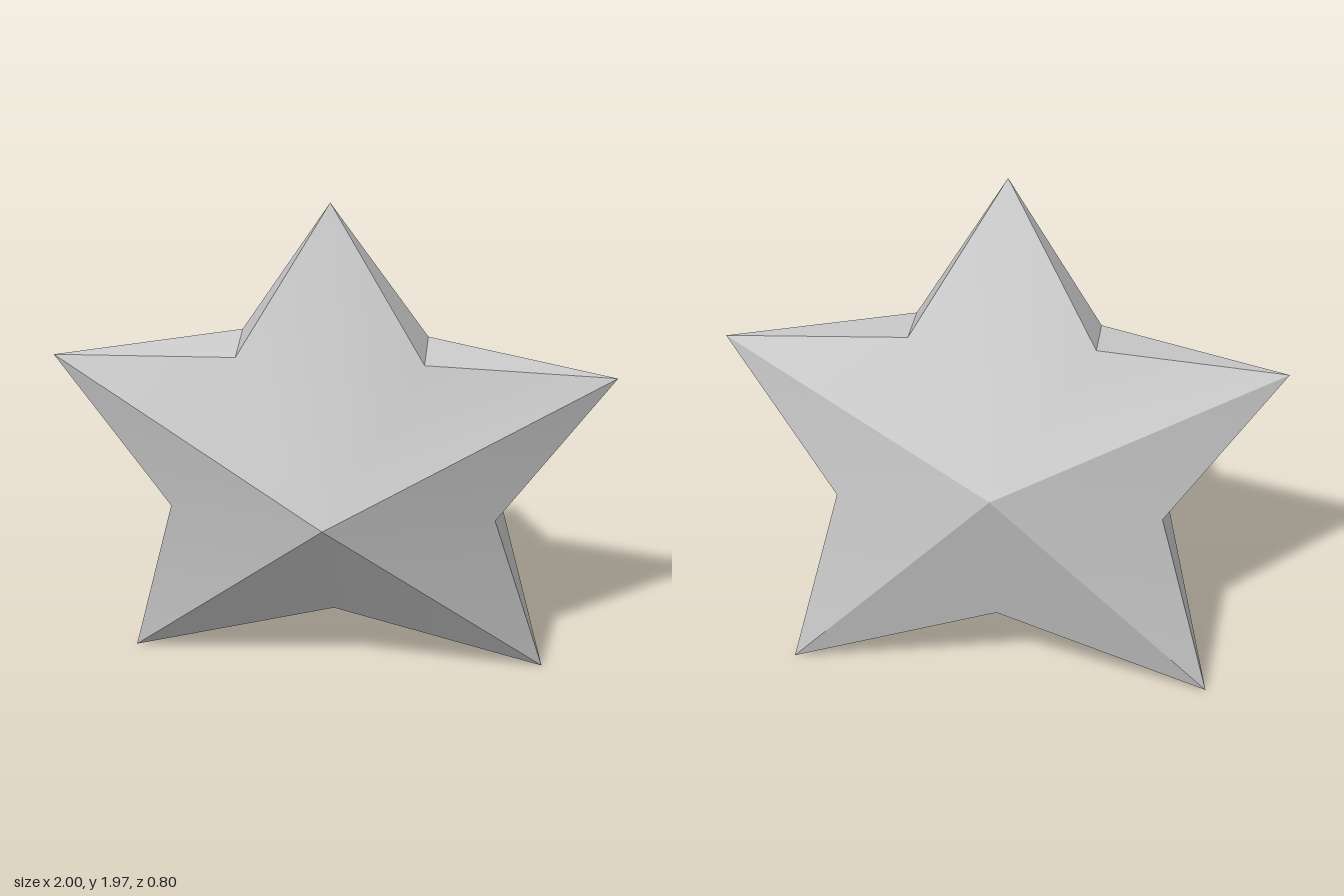
import * as THREE from 'three';

// Five tips, counter-clockwise from the top; the star leans slightly back at its foot
const TIPS = [
  [0, 1.965, 0.105], [-1, 1.31, 0.01], [-0.78, 0, -0.17], [0.78, 0, -0.17], [1, 1.31, 0.01],
];
// Notches between the tips; notch i follows tip i
const FRONT_NOTCHES = [
  [-0.33, 1.385, 0.13], [-0.59, 0.735, 0.04], [0, 0.3, -0.02], [0.59, 0.735, 0.04], [0.33, 1.385, 0.13],
];
const BACK_NOTCHES = [
  [-0.33, 1.405, -0.067], [-0.59, 0.765, -0.155], [0, 0.33, -0.22], [0.59, 0.765, -0.155], [0.33, 1.405, -0.067],
];
const FRONT_APEX = [0, 0.855, 0.395];
const BACK_APEX = [0, 0.965, -0.4];

// Smooth panel: a triangle fan from an apex along an outline
function fan(apex, outline) {
  const g = new THREE.BufferGeometry();
  const index = [];
  for (let i = 1; i < outline.length; i++) index.push(0, i, i + 1);
  g.setAttribute('position', new THREE.Float32BufferAttribute([apex, ...outline].flat(), 3));
  g.setIndex(index);
  g.computeVertexNormals();
  return g;
}

export function createModel() {
  const group = new THREE.Group();
  group.name = 'star';
  const grey = new THREE.MeshStandardMaterial({ color: 0xcccccc });
  grey.name = 'light grey';

  const add = (name, geometry) => {
    const mesh = new THREE.Mesh(geometry, grey);
    mesh.name = name;
    group.add(mesh);
  };

  // Panels between hard ridges; the upper one runs smoothly over the top arm
  const panels = [['upper', 4, 2], ['right', 1, 1], ['lower', 2, 1], ['left', 3, 1]];
  for (const [name, start, count] of panels) {
    const outline = (notches) => {
      const pts = [TIPS[start]];
      for (let k = 0; k < count; k++) {
        const i = (start + k) % 5;
        pts.push(notches[i], TIPS[(i + 1) % 5]);
      }
      return pts;
    };
    add(name + 'FrontPanel', fan(FRONT_APEX, outline(FRONT_NOTCHES)));
    add(name + 'BackPanel', fan(BACK_APEX, outline(BACK_NOTCHES).reverse()));
  }

  // Flat tapering side walls in each notch
  for (let i = 0; i < 5; i++) {
    const front = FRONT_NOTCHES[i], back = BACK_NOTCHES[i];
    add('notchWallA' + (i + 1), fan(TIPS[i], [back, front]));
    add('notchWallB' + (i + 1), fan(TIPS[(i + 1) % 5], [front, back]));
  }
  return group;
}
